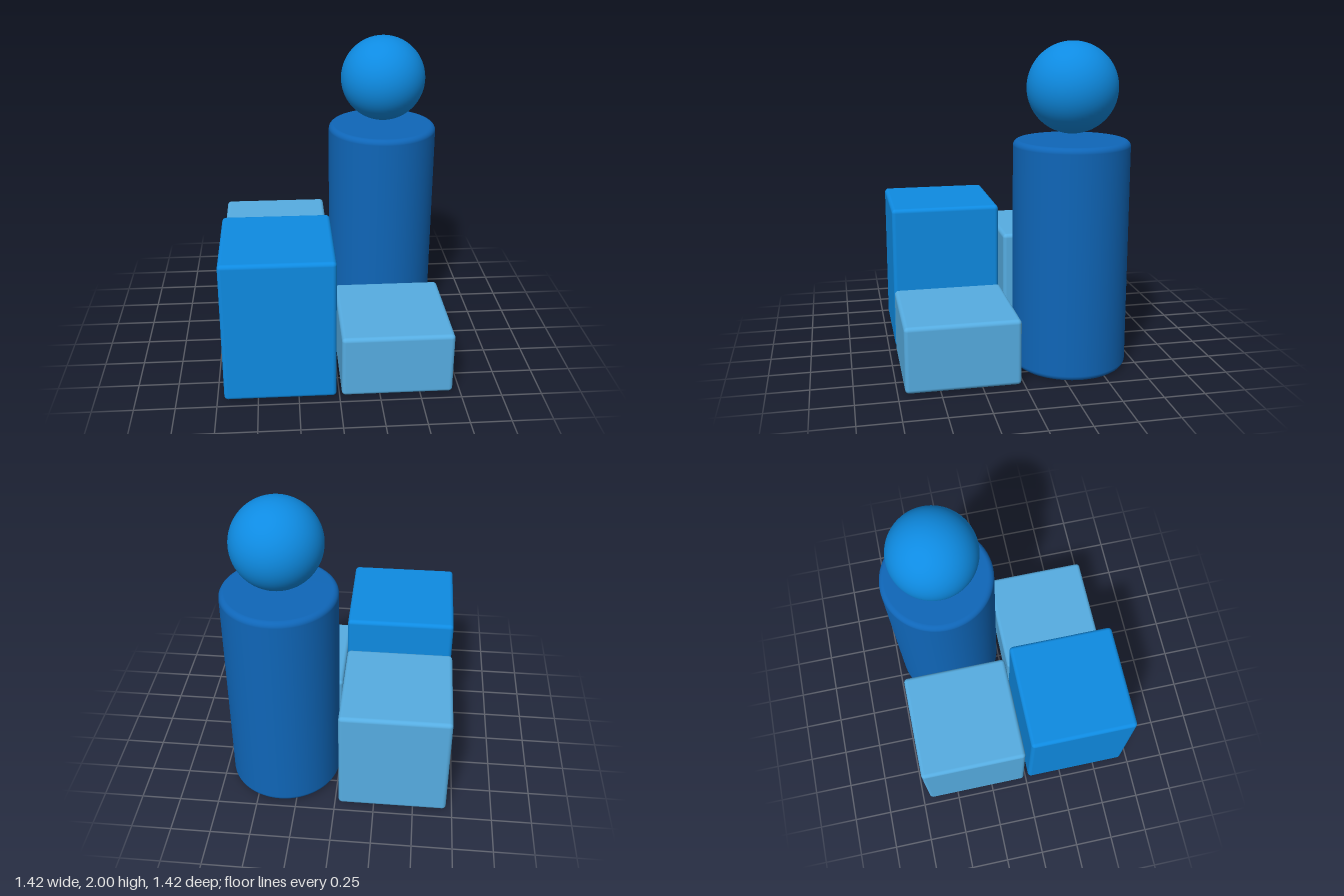
import * as THREE from 'three';
import { RoundedBoxGeometry } from 'three/addons/geometries/RoundedBoxGeometry.js';

const paint = (name, color) => {
  const m = new THREE.MeshStandardMaterial({ color });
  m.name = name;
  return m;
};

export function createModel() {
  const bright = paint('bright blue', 0x0e8be2);
  const deep = paint('deep blue', 0x0f66b8);
  const pale = paint('pale blue', 0x56ade2);

  const group = new THREE.Group();
  const add = (name, geometry, material, x, y, z) => {
    const mesh = new THREE.Mesh(geometry, material);
    mesh.name = name;
    mesh.position.set(x, y, z);
    group.add(mesh);
  };

  // Three rounded blocks of different heights, one per quadrant
  const side = 0.688, base = 0.012;
  const block = (name, material, top, x, z) =>
    add(name, new RoundedBoxGeometry(side, top - base, side, 4, 0.025), material, x, (top + base) / 2, z);
  block('tallBlock', bright, 0.935, -0.363, 0.364);
  block('middleBlock', pale, 0.735, -0.367, -0.357);
  block('lowBlock', pale, 0.417, 0.357, 0.364);

  // Column with softly rounded rims
  const radius = 0.354, bottom = 0.003, top = 1.415, bevel = 0.035, steps = 6;
  const profile = [new THREE.Vector2(0, bottom)];
  const rim = (y, start) => {
    for (let i = 0; i <= steps; i++) {
      const a = start + (i / steps) * Math.PI / 2;
      profile.push(new THREE.Vector2(radius - bevel + Math.cos(a) * bevel, y + Math.sin(a) * bevel));
    }
  };
  rim(bottom + bevel, -Math.PI / 2);
  rim(top - bevel, 0);
  profile.push(new THREE.Vector2(0, top));
  add('column', new THREE.LatheGeometry(profile, 96), deep, 0.355, 0, -0.355);

  // Ball floating above the column
  add('ball', new THREE.SphereGeometry(0.274, 64, 40), bright, 0.355, 1.726, -0.355);

  return group;
}
